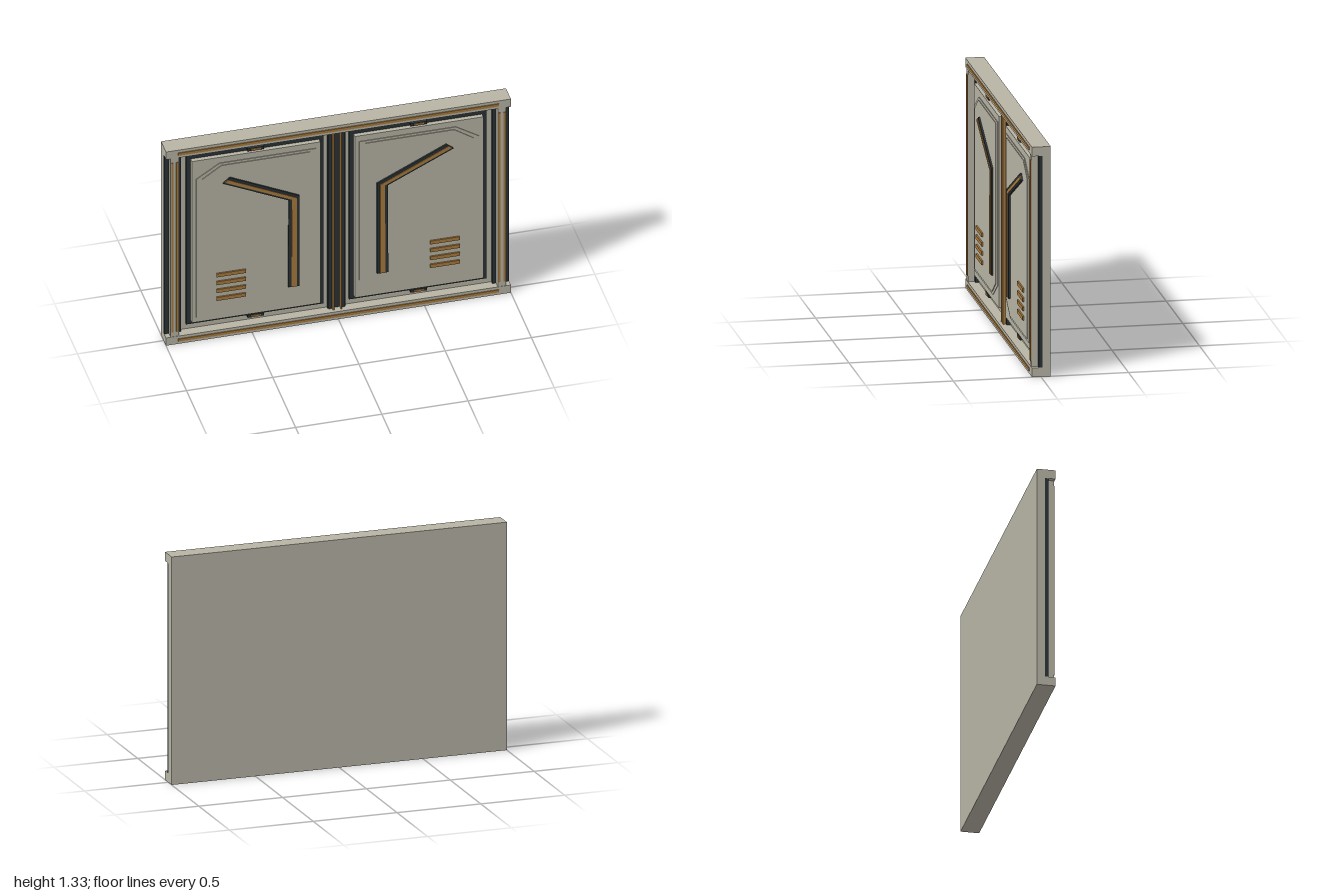
import * as THREE from 'three';

const mat = (color) => new THREE.MeshStandardMaterial({ color, flatShading: true });

export function createModel() {
  const group = new THREE.Group();
  const stone = mat(0xb8b5a6), dark = mat(0x2a3236), gold = mat(0xa87a3c);

  const add = (parent, name, geometry, material) => {
    const mesh = new THREE.Mesh(geometry, material);
    mesh.name = name;
    parent.add(mesh);
  };
  // Box given by its limits on each axis
  const box = (parent, name, material, xa, xb, y0, y1, z0, z1) => {
    const g = new THREE.BoxGeometry(Math.abs(xb - xa), y1 - y0, z1 - z0);
    g.translate((xa + xb) / 2, (y0 + y1) / 2, (z0 + z1) / 2);
    add(parent, name, g, material);
  };
  // Flat outline extruded from z0 to z1, mirrored by s
  const plate = (parent, name, material, s, points, z0, z1) => {
    const shape = new THREE.Shape(points.map(([x, y]) => new THREE.Vector2(s * x, y)));
    const g = new THREE.ExtrudeGeometry(shape, { depth: z1 - z0, bevelEnabled: false });
    g.translate(0, 0, z0);
    add(parent, name, g, material);
  };
  // Rectangle with its top outer and bottom inner corners cut
  const cutRect = (x0, x1, y0, y1, cx, cy) => [
    [x0, y0], [x1 - cx, y0], [x1, y0 + cy], [x1, y1], [x0 + cx, y1], [x0, y1 - cy],
  ];

  // Back wall and the top and bottom rails
  box(group, 'backWall', stone, -1, 1, 0, 1.333, -0.056, -0.008);
  for (const [name, y0] of [['bottomRail', 0], ['topRail', 1.28]]) {
    box(group, name, stone, -1, 1, y0, y0 + 0.053, -0.008, 0.051);
    box(group, name + 'Trim', gold, -0.93, 0.93, y0 + 0.018, y0 + 0.035, 0.05, 0.056);
  }

  // Central divider with two projecting fins
  box(group, 'divider', dark, -0.052, 0.052, 0.053, 1.28, -0.008, 0.006);
  for (const s of [-1, 1]) {
    box(group, 'dividerRib', dark, s * 0.029, s * 0.047, 0.053, 1.28, 0.006, 0.014);
    box(group, 'dividerFin', gold, s * 0.019, s * 0.027, 0.053, 1.28, 0.006, 0.032);
  }

  for (const s of [-1, 1]) {
    const side = new THREE.Group();
    side.name = s > 0 ? 'leftBay' : 'rightBay';
    group.add(side);

    // Side post over a dark channel
    box(side, 'sideChannel', dark, s * 0.902, s, 0.053, 1.28, -0.008, 0.012);
    box(side, 'post', stone, s * 0.925, s * 0.972, 0.053, 1.28, 0.012, 0.049);
    for (const x of [0.929, 0.957])
      box(side, 'postTrim', gold, s * x, s * (x + 0.011), 0.085, 1.25, 0.048, 0.053);

    // Door panel in its dark surround
    box(side, 'panelSurround', dark, s * 0.075, s * 0.87, 0.09, 1.25, -0.008, 0.004);
    box(side, 'panel', stone, s * 0.1, s * 0.845, 0.115, 1.225, 0.004, 0.031);
    plate(side, 'panelStep', stone, -s, cutRect(-0.82, -0.125, 0.15, 1.187, 0.135, 0.087), 0.03, 0.035);
    plate(side, 'panelFace', stone, -s, cutRect(-0.785, -0.16, 0.165, 1.172, 0.11, 0.075), 0.034, 0.039);

    // Clips at the top and bottom of the panel
    for (const y of [0.097, 1.243]) {
      box(side, 'clip', dark, s * 0.425, s * 0.52, y - 0.009, y + 0.009, 0, 0.028);
      box(side, 'clipInlay', gold, s * 0.445, s * 0.5, y - 0.006, y + 0.006, 0.027, 0.032);
    }

    // Bent stripe with a gold inlay
    plate(side, 'stripe', dark, -s, [
      [-0.29, 0.27], [-0.225, 0.27], [-0.225, 0.89], [-0.627, 1.086], [-0.668, 1.052], [-0.287, 0.868],
    ], 0.038, 0.049);
    plate(side, 'stripeInlay', gold, -s, [
      [-0.272, 0.272], [-0.242, 0.272], [-0.242, 0.881], [-0.64, 1.075], [-0.658, 1.06], [-0.27, 0.873],
    ], 0.048, 0.053);

    // Vent slats
    for (let i = 0; i < 4; i++) {
      const y = 0.252 + i * 0.054;
      box(side, 'ventSlat', gold, s * 0.535, s * 0.705, y, y + 0.023, 0.038, 0.048);
    }
  }
  return group;
}
